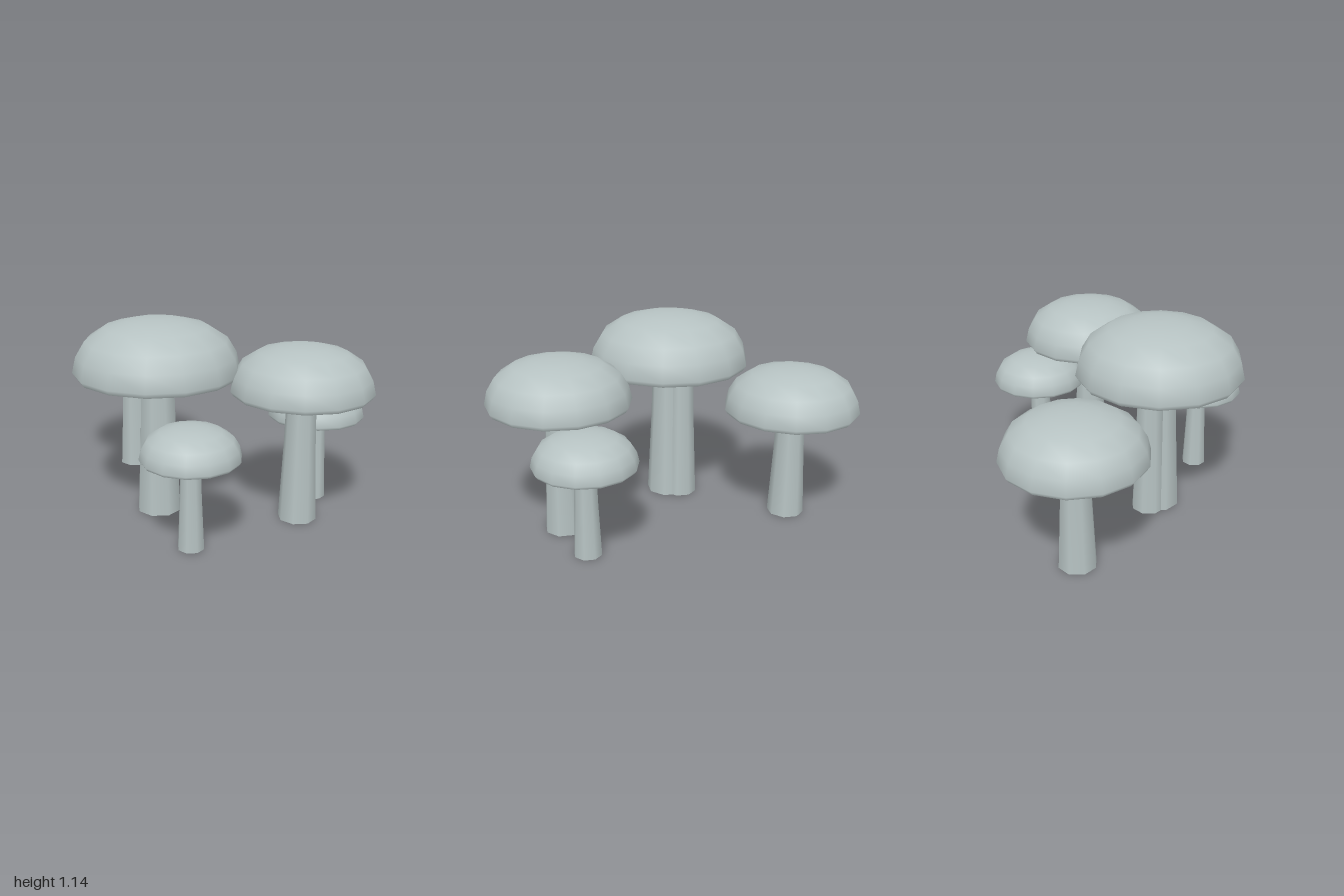
import * as THREE from 'three';

// Outlines as [radius, height] fractions
const CAP = [[0.96, 0], [1, 0.09], [0.955, 0.37], [0.845, 0.64], [0.615, 0.865], [0.35, 0.965], [0.16, 0.995], [0, 1]];
const UNDERSIDE = [[0, 0.24], [0.25, 0.22], [0.6, 0.13], [0.96, 0]];
const STEM = [[1, 0], [0.82, 0.55], [0.73, 1]];

// name, x, z, cap radius, cap bottom, cap top, stem foot radius
const MUSHROOMS = [
  ['large', -0.206, 0.172, 0.474, 0.82, 1.14, 0.132],
  ['twin', -0.245, 0.1, 0.36, 0.825, 1.08, 0.1],
  ['left', 0.598, 0.054, 0.401, 0.75, 1.02, 0.111],
  ['right', -0.613, -0.48, 0.387, 0.635, 0.897, 0.107],
  ['backSmall', 0.627, -0.277, 0.285, 0.515, 0.705, 0.079],
  ['frontSmall', 0.128, 0.594, 0.27, 0.505, 0.688, 0.074],
];

export function createModel() {
  const model = new THREE.Group();
  model.name = 'mushroomCluster';
  const grey = new THREE.MeshStandardMaterial({ color: 0xb6c2c2 });
  grey.name = 'paleGrey';

  const add = (parent, name, geometry) => {
    const mesh = new THREE.Mesh(geometry, grey);
    mesh.name = name;
    parent.add(mesh);
    return mesh;
  };

  // Spin an outline scaled to a radius and height
  const turn = (outline, r, height, sides) =>
    new THREE.LatheGeometry(outline.map(([u, v]) => new THREE.Vector2(u * r, v * height)), sides, Math.PI / 2);

  for (const [name, x, z, r, bottom, top, foot] of MUSHROOMS) {
    const mushroom = new THREE.Group();
    mushroom.name = name + 'Mushroom';
    mushroom.position.set(x, 0, z);
    model.add(mushroom);

    // Domed cap with a hollowed underside
    const depth = top - bottom;
    add(mushroom, 'cap', turn(CAP, r, depth, 14)).position.y = bottom;
    add(mushroom, 'capUnderside', turn(UNDERSIDE, r, depth, 14)).position.y = bottom;

    // Eight-sided stem reaching into the hollow, closed at the foot
    add(mushroom, 'stem', turn(STEM, foot, bottom + 0.24 * depth, 8));
    const sole = new THREE.CircleGeometry(foot, 8);
    sole.rotateX(Math.PI / 2);
    add(mushroom, 'stemFoot', sole);
  }

  return model;
}
